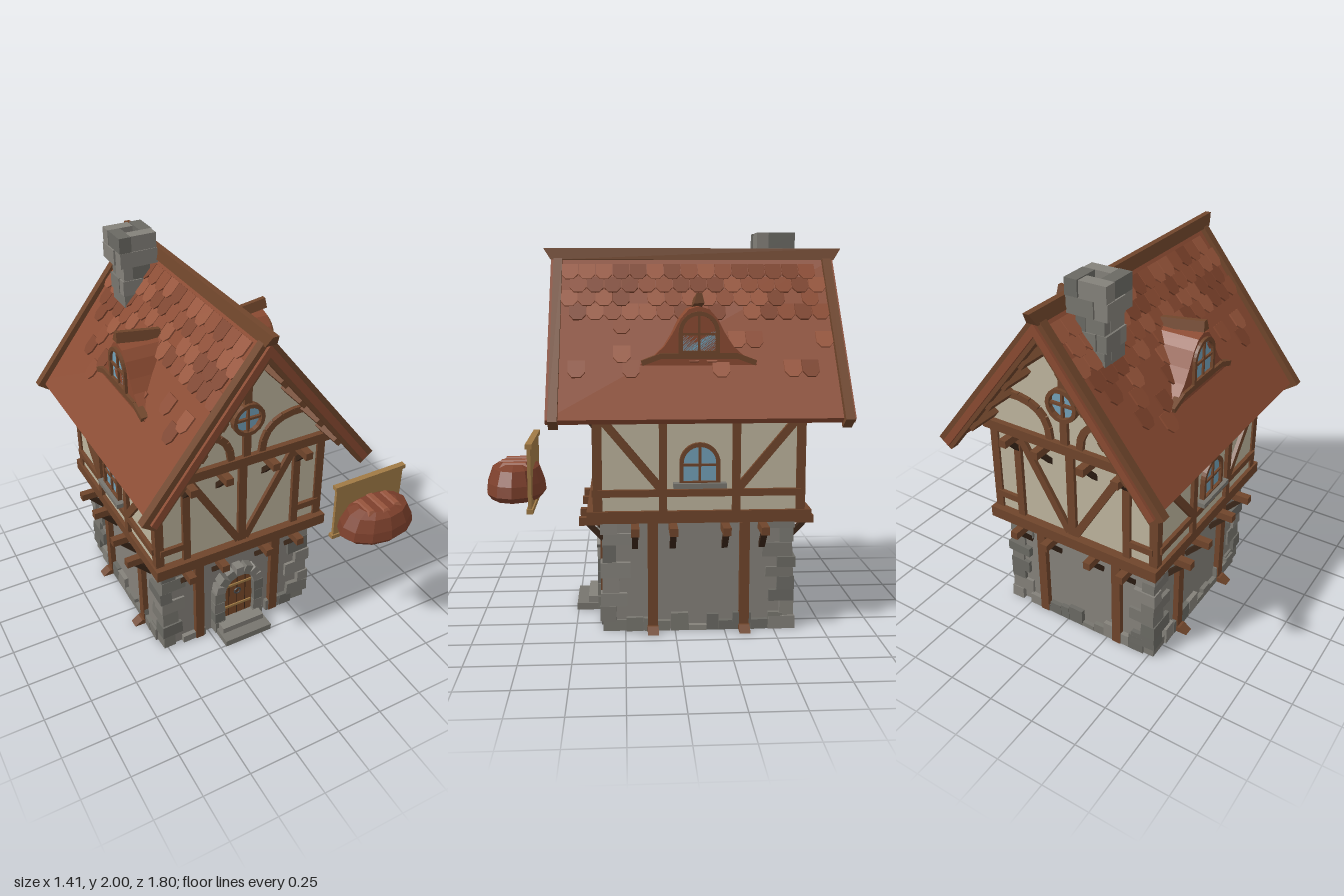
import * as THREE from 'three';

const mat = (color, side = THREE.FrontSide) => new THREE.MeshStandardMaterial({ color, side, flatShading: true });
const M = {
  wood: mat(0x6f452b), dark: mat(0x3a2619), plaster: mat(0xbdb49d), wall: mat(0x85817a, THREE.DoubleSide),
  stones: [mat(0x77756e), mat(0x84817a), mat(0x6a6963)], roof: mat(0x8a4a31),
  tiles: [mat(0x8a4a31), mat(0x7c422b), mat(0x96543a)], glass: mat(0x72a0b8), door: mat(0x7b4a29),
  gold: mat(0xa07a45), loaf: mat(0x7d402c), crust: mat(0x96543c), iron: mat(0x444444),
};

let seed = 7;
const rnd = (a = 0, b = 1) => {
  seed = (seed * 16807) % 2147483647;
  return a + (b - a) * seed / 2147483647;
};
const pick = list => list[Math.floor(rnd(0, list.length))];

function add(parent, name, geo, material, x = 0, y = 0, z = 0) {
  const m = new THREE.Mesh(geo, material);
  m.name = name;
  m.position.set(x, y, z);
  parent.add(m);
  return m;
}
const box = (p, name, material, w, h, d, x, y, z) => add(p, name, new THREE.BoxGeometry(w, h, d), material, x, y, z);

// Straight timber between two points of a wall face
function beam(p, name, x1, y1, x2, y2, z, w = 0.04, d = 0.03) {
  const m = box(p, name, M.wood, w, Math.hypot(x2 - x1, y2 - y1), d, (x1 + x2) / 2, (y1 + y2) / 2, z);
  m.rotation.z = -Math.atan2(x2 - x1, y2 - y1);
  return m;
}

// Box whose top face is scaled
function taperBox(w, h, d, sx, sz) {
  const g = new THREE.BoxGeometry(w, h, d), a = g.attributes.position;
  for (let i = 0; i < a.count; i++) if (a.getY(i) > 0) { a.setX(i, a.getX(i) * sx); a.setZ(i, a.getZ(i) * sz); }
  return g;
}

const extrude = (shape, depth) => new THREE.ExtrudeGeometry(shape, { depth, bevelEnabled: false, curveSegments: 8 });
// Closed shape from one half of a symmetric outline
const mirrored = half => new THREE.Shape([...half, ...half.filter(p => p[0] > 0).map(([x, y]) => [-x, y]).reverse()]
  .map(p => new THREE.Vector2(...p)));

function arch(r, y0, y1) {
  const s = new THREE.Shape();
  s.moveTo(-r, y0); s.lineTo(r, y0); s.lineTo(r, y1);
  s.absarc(0, y1, r, 0, Math.PI, false);
  s.closePath();
  return s;
}

function stone(p, name, w, h, d, x, y, z) {
  const m = add(p, name, taperBox(w, h, d, rnd(0.93, 1), rnd(0.93, 1)), pick(M.stones), x, y, z);
  m.rotation.set(0, rnd(-0.04, 0.04), rnd(-0.03, 0.03));
}

function archWindow(p, y0, z) {
  const y1 = y0 + 0.105;
  add(p, 'windowGlass', extrude(arch(0.085, y0, y1), 0.01), M.glass, 0, 0, z);
  const frame = arch(0.1, y0, y1);
  frame.holes.push(arch(0.08, y0 + 0.015, y1));
  add(p, 'windowFrame', extrude(frame, 0.025), M.wood, 0, 0, z);
  box(p, 'windowBar', M.wood, 0.012, 0.19, 0.02, 0, y0 + 0.1, z + 0.01);
  box(p, 'windowBar', M.wood, 0.17, 0.012, 0.02, 0, y0 + 0.095, z + 0.01);
}

// Projecting joist with a dark strut below it
function corbel(p, x, y, z) {
  box(p, 'corbelArm', M.wood, 0.04, 0.04, 0.17, x, y, z + 0.05);
  box(p, 'corbelStrut', M.dark, 0.03, 0.13, 0.025, x, y - 0.06, z + 0.045).rotation.x = 0.75;
}

// Stone ground floor: one wall with posts, corbels and base stones
function lowerFace(p, half, z, feet, door) {
  add(p, 'lowerWall', new THREE.PlaneGeometry(half * 2, 0.58), M.wall, 0, 0.29, z);
  for (const s of [-1, 1]) {
    box(p, 'lowerPost', M.wood, 0.05, 0.56, 0.04, s * 0.23, 0.28, z + 0.01);
    if (feet) add(p, 'postFoot', taperBox(0.055, 0.03, 0.17, 1, 0.5), M.wood, s * 0.23, 0.015, z);
    for (const x of [0.13, 0.318]) corbel(p, s * x, 0.54, z);
  }
  for (let x = -half + 0.1; x < half - 0.1;) {
    const w = rnd(0.05, 0.1), h = rnd(0.025, 0.1);
    if (!door || Math.abs(x + w / 2) > 0.2) stone(p, 'baseStone', w, h, 0.05, x + w / 2, h / 2, z);
    x += w;
  }
}

// Gable end: timber frame, round window and purlin ends
function gableEnd(p) {
  const z = 0.515, g = 0.55;
  beam(p, 'centrePost', 0, 0.63, 0, 1.13, z, 0.045);
  beam(p, 'gableBeam', -0.48, 1.155, 0.48, 1.155, g, 0.05, 0.05);
  beam(p, 'kingPost', 0, 1.47, 0, 1.78, g);
  beam(p, 'kingPostBase', 0, 1.17, 0, 1.31, g);
  for (const s of [-1, 1]) {
    beam(p, 'innerPost', s * 0.315, 0.63, s * 0.315, 1.13, z);
    beam(p, 'diagonalBrace', s * 0.3, 1.11, s * 0.02, 0.64, z);
    beam(p, 'lowRail', s * 0.32, 0.715, s * 0.46, 0.715, z, 0.035);
    for (const x of [0.13, 0.318]) corbel(p, s * x, 1.11, z - 0.02);
    const curve = new THREE.QuadraticBezierCurve(new THREE.Vector2(0.33, 1.355), new THREE.Vector2(0.09, 1.37), new THREE.Vector2(0.085, 1.18));
    const pts = curve.getPoints(6);
    for (let i = 0; i < 6; i++) beam(p, 'curvedBrace', s * pts[i].x, pts[i].y, s * pts[i + 1].x, pts[i + 1].y, g, 0.036);
    for (const x of [0.11, 0.215, 0.32, 0.43])
      box(p, 'purlinEnd', M.wood, 0.045, 0.05, 0.2, s * x, 1.775 - 1.288 * x, 0.61).rotation.z = -s * 0.91;
  }
  const ring = new THREE.Shape().absarc(0, 0, 0.086, 0, Math.PI * 2);
  ring.holes.push(new THREE.Path().absarc(0, 0, 0.066, 0, Math.PI * 2, true));
  add(p, 'roundWindowFrame', extrude(ring, 0.04), M.wood, 0, 1.39, 0.54);
  add(p, 'roundWindowGlass', new THREE.CircleGeometry(0.07, 20), M.glass, 0, 1.39, 0.555);
  for (const [w, h] of [[0.012, 0.14], [0.14, 0.012]]) box(p, 'roundWindowBar', M.wood, w, h, 0.02, 0, 1.39, 0.56);
}

// Bell-shaped dormer growing out of the roof slope
function dormer(p) {
  const bell = mirrored([[0, 1.625], [0.05, 1.61], [0.09, 1.565], [0.13, 1.49], [0.17, 1.43], [0.22, 1.385], [0.285, 1.345], [0.285, 1.3]].reverse());
  add(p, 'dormerRoof', extrude(bell, 0.32), M.roof, 0, 0, 0.085);
  archWindow(p, 1.395, 0.395);
  beam(p, 'dormerSill', -0.19, 1.385, 0.19, 1.385, 0.4, 0.028, 0.04);
  for (const s of [-1, 1]) beam(p, 'dormerSillEnd', s * 0.18, 1.387, s * 0.28, 1.35, 0.4, 0.026, 0.04);
  add(p, 'dormerRidge', taperBox(0.05, 0.05, 0.23, 0.5, 1.02), M.wood, 0, 1.648, 0.3).rotation.x = -0.14;
}

// Long side: timber frame, window, dormer and roof tiles
function longSide(p) {
  const z = 0.48;
  beam(p, 'sideRail', -0.5, 0.72, 0.5, 0.72, z, 0.035);
  for (const s of [-1, 1]) {
    beam(p, 'sidePost', s * 0.18, 0.63, s * 0.18, 1.13, z);
    beam(p, 'sideBrace', s * 0.48, 1.09, s * 0.19, 0.74, z);
  }
  archWindow(p, 0.765, z - 0.005);
  box(p, 'windowSill', M.stones[0], 0.26, 0.025, 0.06, 0, 0.76, z + 0.01);
  dormer(p);
  const a = Math.atan2(0.76, 0.59);
  const tile = extrude(mirrored([[0.021, -0.1], [0.042, -0.07], [0.042, 0]]), 0.009);
  for (let row = 0; row < 8; row++) for (let i = 0; i < 15; i++) {
    if (rnd() > (row < 4 ? 0.95 : 0.22)) continue;
    const s = 0.04 + row * 0.085, x = -0.64 + i * 0.088 + (row % 2) * 0.044;
    const m = add(p, 'roofTile', tile, pick(M.tiles), x, 1.86 - s * Math.sin(a), s * Math.cos(a));
    m.rotation.x = a - Math.PI / 2 - 0.07;
  }
}

function entrance(p, z) {
  add(p, 'door', extrude(arch(0.1, 0.06, 0.285), 0.02), M.door, 0, 0, z);
  for (const x of [-0.05, 0, 0.05]) box(p, 'doorGroove', M.dark, 0.004, 0.28, 0.004, x, 0.21, z + 0.02);
  for (const y of [0.14, 0.29]) box(p, 'doorStrap', M.gold, 0.17, 0.014, 0.01, 0, y, z + 0.022);
  add(p, 'doorKnocker', new THREE.TorusGeometry(0.018, 0.005, 5, 10), M.iron, 0, 0.24, z + 0.026);
  for (let i = 0; i < 7; i++) {
    const t = Math.PI * (i + 0.5) / 7;
    const m = add(p, 'archStone', new THREE.BoxGeometry(0.055, 0.045, rnd(0.1, 0.12)), pick(M.stones), 0.115 * Math.cos(t), 0.285 + 0.115 * Math.sin(t), z);
    m.rotation.z = t;
  }
  for (const s of [-1, 1]) for (let i = 0; i < 4; i++) stone(p, 'jambStone', rnd(0.05, 0.065), 0.066, 0.1, s * 0.118, 0.04 + i * 0.07, z);
  for (let i = 0; i < 2; i++) box(p, 'doorStep', M.stones[i], 0.28 - i * 0.03, 0.036, 0.16 - i * 0.06, 0, 0.018 + i * 0.034, z + 0.08 - i * 0.03);
}

function bakerSign(root) {
  const g = new THREE.Group();
  g.name = 'hangingSign';
  g.position.set(0.49, 0, 0);
  root.add(g);
  box(g, 'signBoard', M.gold, 0.4, 0.3, 0.016, 0, 0.86, 0.68);
  for (const y of [0.71, 1.01]) box(g, 'signRail', M.gold, 0.42, 0.022, 0.03, 0, y, 0.68);
  const profile = [[0, 0.742], [0.18, 0.742], [0.21, 0.77], [0.2, 0.82], [0.165, 0.885], [0.11, 0.905], [0, 0.905]];
  const loaf = add(g, 'loaf', new THREE.LatheGeometry(profile.map(p => new THREE.Vector2(...p)), 12, Math.PI / 2), M.loaf, 0, 0, 0.76);
  loaf.scale.z = 0.667;
  for (const x of [-0.075, 0, 0.075]) add(g, 'loafCut', taperBox(0.05, 0.02, 0.17 - Math.abs(x) * 0.5, 0.5, 0.8), M.crust, x, 0.903, 0.76);
}

export function createModel() {
  seed = 7;
  const root = new THREE.Group(), house = new THREE.Group();
  root.name = 'timberFrameBakery';
  house.name = 'house';
  house.position.set(-0.08, 0, -0.118);
  root.add(house);

  // Walls and the band between the storeys
  box(house, 'upperStorey', M.plaster, 0.95, 0.56, 1.02, 0, 0.85, 0);
  add(house, 'gableWall', extrude(mirrored([[0.51, 1.13], [0, 1.79]]), 1.09), M.plaster, 0, 0, -0.545);
  for (const s of [-1, 1]) {
    box(house, 'floorBand', M.wood, 0.99, 0.06, 0.06, 0, 0.6, s * 0.525);
    box(house, 'floorBand', M.wood, 0.06, 0.06, 1.11, s * 0.465, 0.6, 0);
    for (const t of [-1, 1]) {
      box(house, 'cornerPost', M.wood, 0.045, 0.5, 0.045, s * 0.462, 0.88, t * 0.5);
      // Corner quoins
      for (let y = 0, i = 0; y < 0.55; i++) {
        const h = Math.min(rnd(0.05, 0.09), 0.57 - y), long = i % 2;
        const w = (long ? 0.13 : 0.08) + rnd(-0.015, 0.02), d = (long ? 0.08 : 0.14) + rnd(-0.015, 0.02), o = rnd(0.012, 0.028);
        stone(house, 'cornerStone', w, h, d, s * (0.43 + o - w / 2), y + h / 2, t * (0.465 + o - d / 2));
        y += h;
      }
    }
  }

  // Four faces
  for (let i = 0; i < 4; i++) {
    const f = new THREE.Group(), side = i % 2 === 1;
    f.name = ['frontFace', 'leftFace', 'backFace', 'rightFace'][i];
    f.rotation.y = i * Math.PI / 2;
    house.add(f);
    lowerFace(f, side ? 0.465 : 0.43, side ? 0.43 : 0.465, side, i === 0);
    if (side) longSide(f); else gableEnd(f);
    if (i === 0) entrance(f, 0.465);
  }

  // Roof, bargeboards and ridge
  const chevron = (top, x, y, x2, y2, low) => mirrored([[0, low], [x2, y2], [x, y], [0, top]]);
  const slab = (top, x, y, x2, y2, low) => {
    const s = new THREE.Shape([[0, low], [x2, y2], [x, y], [0, top], [-x, y], [-x2, y2]].map(p => new THREE.Vector2(...p)));
    return s;
  };
  add(house, 'roof', extrude(slab(1.86, 0.59, 1.1, 0.565, 1.075, 1.8), 1.48), M.roof, 0, 0, -0.74);
  for (const z of [0.68, -0.725]) add(house, 'bargeboard', extrude(slab(1.9, 0.63, 1.1, 0.56, 1.05, 1.765), 0.045), M.wood, 0, 0, z);
  add(house, 'ridgeBeam', taperBox(0.06, 0.06, 1.48, 0.5, 1.052), M.wood, 0, 1.886, 0);

  // Hollow chimney of stone courses
  for (let i = 0; i < 6; i++) {
    const r = i > 3 ? 0.102 : 0.078, y = 1.56 + i * 0.08, t = i > 3 ? 0.065 : 0.05, k = i % 2 ? 1 : -1;
    for (let j = 0; j < 4; j++) {
      const c = new THREE.Group();
      c.name = 'chimneyCourse';
      c.position.set(-0.13 + rnd(-0.006, 0.006), y, -0.44);
      c.rotation.y = j * Math.PI / 2;
      house.add(c);
      box(c, 'chimneyStone', pick(M.stones), 2 * r - t, 0.08, t, k * t / 2, 0, r - t / 2 + rnd(-0.004, 0.004));
    }
  }

  bakerSign(root);
  return root;
}
